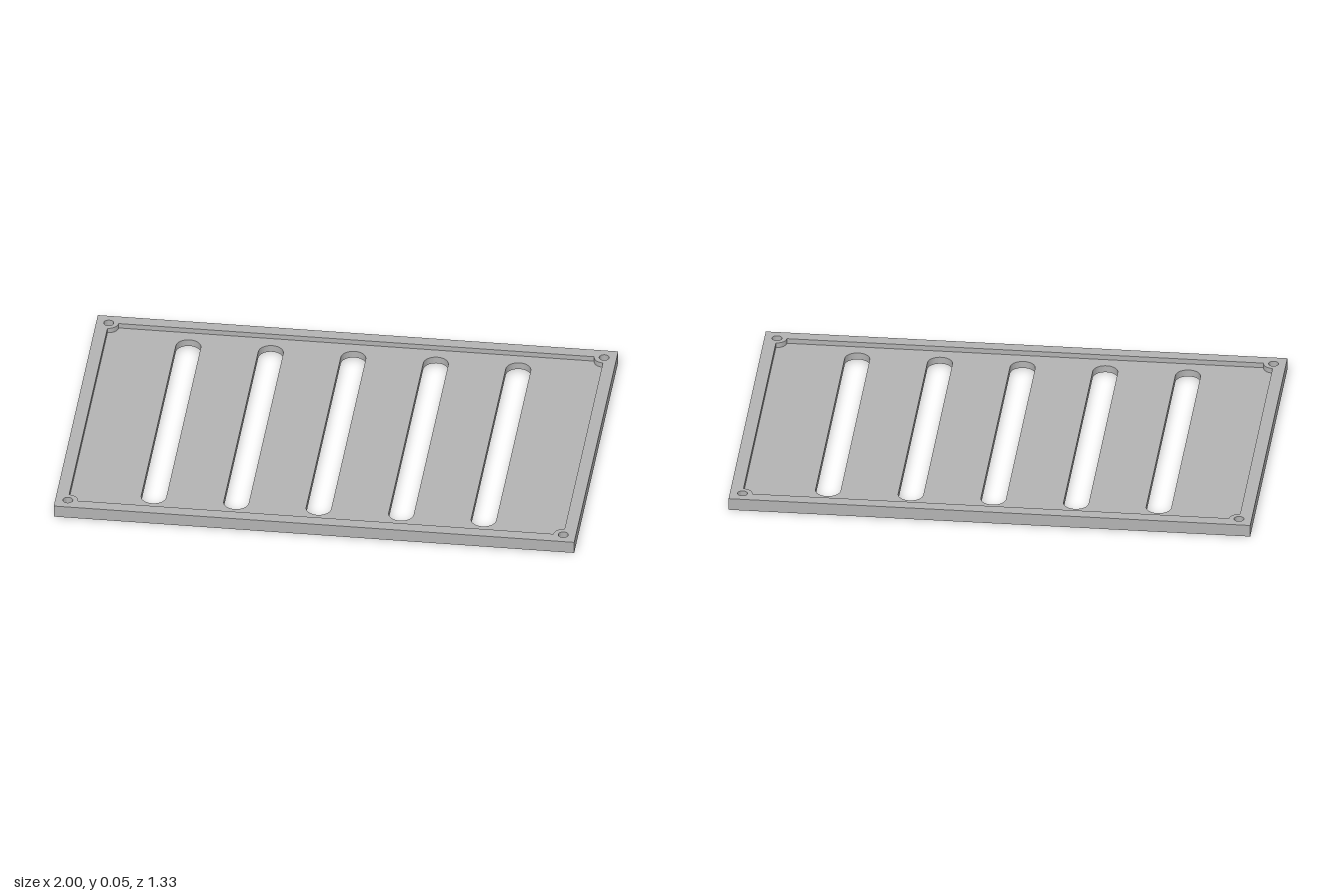
import * as THREE from 'three';
import { mergeGeometries, toCreasedNormals } from 'three/addons/utils/BufferGeometryUtils.js';

const X = 1, Z = 0.667;          // outer half sizes
const CX = 0.952, CZ = 0.619;    // recess half sizes, also screw hole centres
const H = 0.048, FLOOR = 0.028;  // rim height, floor height
const BOSS = 0.038, HOLE = 0.019;
const SLOT_R = 0.048, SLOT_END = 0.571, SLOT_STEP = 0.317;

// Outlines, all counter-clockwise
function rectangle() {
  return [[-X, -Z], [X, -Z], [X, Z], [-X, Z]].map(p => new THREE.Vector2(...p));
}

// Recess with a rounded screw boss biting into each corner
function recess() {
  const s = new THREE.Shape();
  [[CX, -CZ], [CX, CZ], [-CX, CZ], [-CX, -CZ]].forEach(([x, y], k) => {
    const a = Math.PI * (1 + k / 2);
    s.absarc(x, y, BOSS, a, a - Math.PI / 2, true);
  });
  return s.getPoints(10);
}

function slot(x) {
  const s = new THREE.Shape(), c = SLOT_END - SLOT_R;
  s.absarc(x, c, SLOT_R, 0, Math.PI, false);
  s.absarc(x, -c, SLOT_R, Math.PI, Math.PI * 2, false);
  return s.getPoints(16);
}

function screwHole(x, y) {
  return new THREE.Shape().absarc(x, y, HOLE, 0, Math.PI * 2, false).getPoints(12);
}

// Flat face with openings, facing up or down
function cap(outline, holes, y, down = false) {
  const s = new THREE.Shape(outline);
  s.holes = holes.map(h => new THREE.Path(h));
  const g = new THREE.ShapeGeometry(s).toNonIndexed();
  g.deleteAttribute('uv');
  return g.rotateX(down ? Math.PI / 2 : -Math.PI / 2).translate(0, y, 0);
}

// Upright wall along an outline, facing outward or into the opening
function wall(outline, y0, y1, inward = false) {
  const pts = inward ? [...outline].reverse() : outline;
  const pos = [];
  pts.forEach((a, i) => {
    const b = pts[(i + 1) % pts.length];
    if (a.distanceTo(b) < 1e-5) return;
    pos.push(a.x, y0, -a.y, b.x, y0, -b.y, b.x, y1, -b.y,
      a.x, y0, -a.y, b.x, y1, -b.y, a.x, y1, -a.y);
  });
  const g = new THREE.BufferGeometry();
  g.setAttribute('position', new THREE.Float32BufferAttribute(pos, 3));
  g.computeVertexNormals();
  return toCreasedNormals(g, Math.PI / 5);
}

export function createModel() {
  const group = new THREE.Group();
  group.name = 'slottedTray';
  const grey = new THREE.MeshStandardMaterial({ color: 0xb3b3b3 });
  grey.name = 'grey';
  const add = (name, ...parts) => {
    const m = new THREE.Mesh(mergeGeometries(parts), grey);
    m.name = name;
    group.add(m);
  };

  const outer = rectangle(), inner = recess();
  const slots = [-2, -1, 0, 1, 2].map(i => slot(i * SLOT_STEP));
  const holes = [];
  for (const sx of [-1, 1]) for (const sz of [-1, 1]) holes.push(screwHole(sx * CX, sz * CZ));

  add('underside', cap(outer, [...slots, ...holes], 0, true));
  add('recessedFloor', cap(inner, slots, FLOOR));
  add('rim', cap(outer, [inner, ...holes], H), wall(outer, 0, H), wall(inner, FLOOR, H, true));
  add('slotWalls', ...slots.map(s => wall(s, 0, FLOOR, true)));
  add('screwHoleWalls', ...holes.map(h => wall(h, 0, H, true)));
  return group;
}
